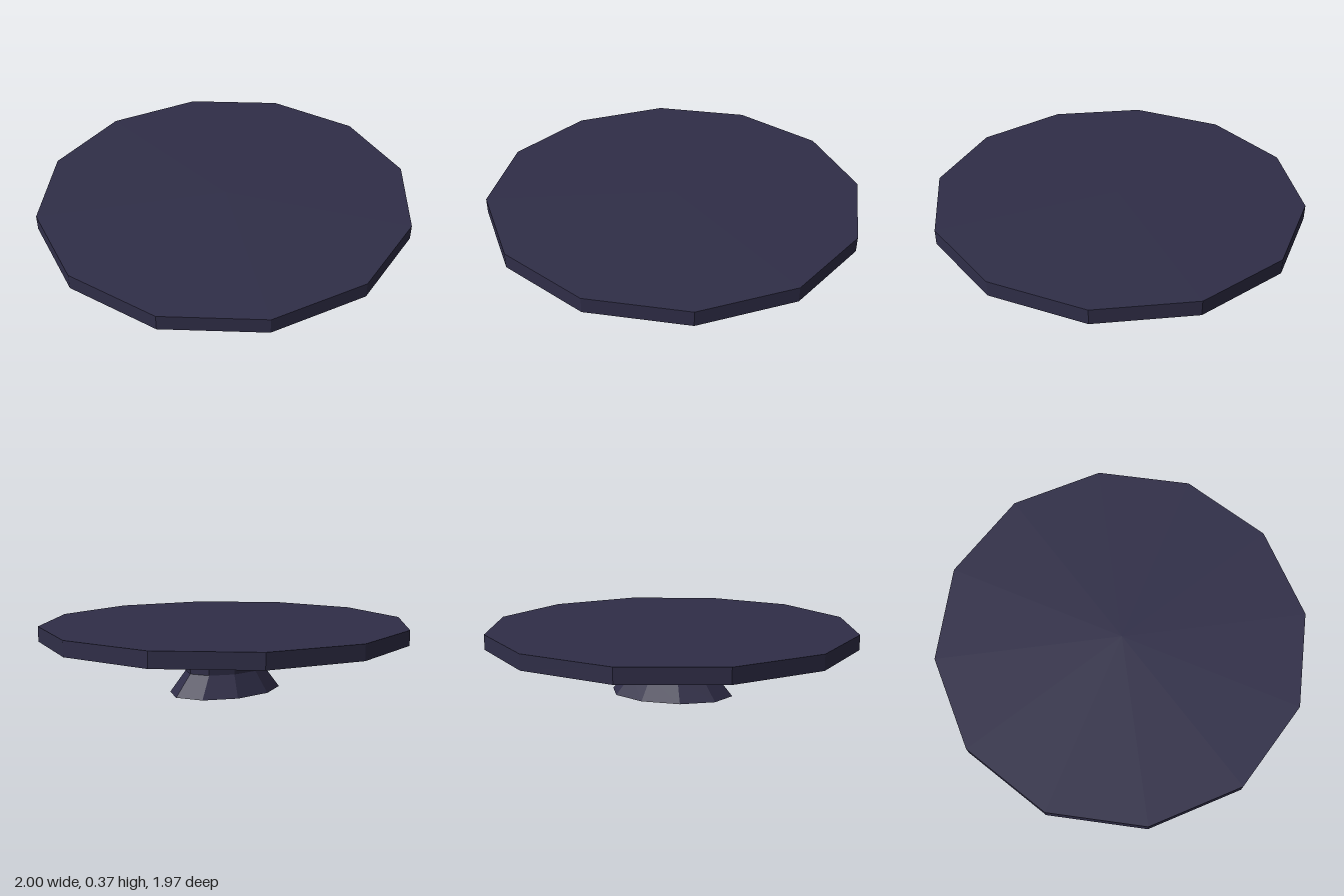
import * as THREE from 'three';

export function createModel() {
  const model = new THREE.Group();
  model.name = 'pedestalTable';

  const slate = new THREE.MeshStandardMaterial({ color: 0x302e48, flatShading: true });
  slate.name = 'darkSlate';

  // Twelve-sided top, very slightly shallower than wide
  const topGeometry = new THREE.CylinderGeometry(1, 1, 0.08, 12);
  topGeometry.scale(1, 1, 0.985);
  topGeometry.translate(0, 0.334, 0);
  const tableTop = new THREE.Mesh(topGeometry, slate);
  tableTop.name = 'tableTop';
  model.add(tableTop);

  // Ten-sided waisted pedestal, flattened front to back, corners on the x axis
  const profile = [[0, 0], [0.34, 0], [0.245, 0.115], [0.245, 0.185], [0.34, 0.294]]
    .map(([r, y]) => new THREE.Vector2(r, y));
  const pedestalGeometry = new THREE.LatheGeometry(profile, 10, Math.PI / 2);
  pedestalGeometry.scale(1, 1, 0.695);
  const pedestal = new THREE.Mesh(pedestalGeometry, slate);
  pedestal.name = 'pedestal';
  model.add(pedestal);

  return model;
}
